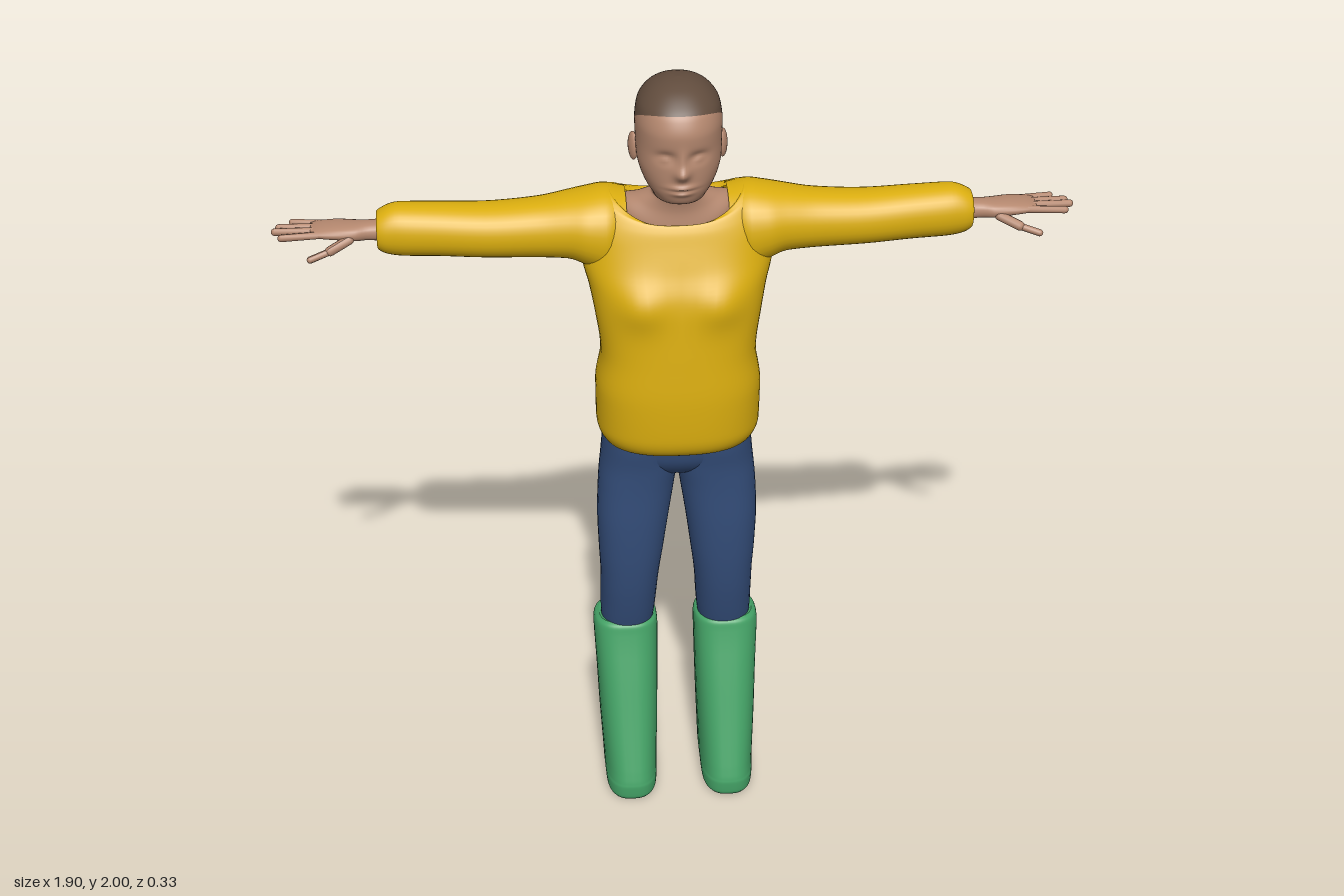
import * as THREE from 'three';

const mat = (name, color, side = THREE.FrontSide) => {
  const m = new THREE.MeshStandardMaterial({ color, side });
  m.name = name;
  return m;
};

// Smooth monotone interpolation of section rows at index position u
function sample(rows, u) {
  const last = rows.length - 1;
  const i = Math.min(Math.floor(u), last - 1), t = u - i;
  return rows[0].map((_, c) => {
    const d = (k) => rows[k + 1][c] - rows[k][c];
    const slope = (k) => {
      if (k === 0) return d(0);
      if (k === last) return d(last - 1);
      const a = d(k - 1), b = d(k);
      return a * b <= 0 ? 0 : (2 * a * b) / (a + b);
    };
    const a = rows[i][c], b = rows[i + 1][c], t2 = t * t, t3 = t2 * t;
    return a * (2 * t3 - 3 * t2 + 1) + slope(i) * (t3 - 2 * t2 + t)
      + b * (3 * t2 - 2 * t3) + slope(i + 1) * (t3 - t2);
  });
}

// Loft of rounded sections; row = [y, xMin, xMax, zBack, zFront, drop at front and back]
function loft(rows, { seg = 40, steps = 40, n = 2.3, from = () => 0, to = () => rows.length - 1, warp, caps = '' } = {}) {
  const pos = [], idx = [];
  const pw = (v) => Math.sign(v) * Math.abs(v) ** (2 / n);
  for (let i = 0; i <= steps; i++) {
    for (let j = 0; j < seg; j++) {
      const a = (j / seg) * Math.PI * 2, c = Math.cos(a), s = Math.sin(a);
      const u0 = from(s), u1 = to(s);
      const [y, x0, x1, z0, z1, drop] = sample(rows, u0 + (u1 - u0) * (i / steps));
      const p = new THREE.Vector3((x0 + x1) / 2 + (x1 - x0) / 2 * pw(c), y - drop * s * s, (z0 + z1) / 2 + (z1 - z0) / 2 * pw(s));
      if (warp) warp(p, s);
      pos.push(p.x, p.y, p.z);
      if (i < steps) {
        const k = (j + 1) % seg, q = i * seg;
        idx.push(q + j, q + seg + j, q + k, q + k, q + seg + j, q + seg + k);
      }
    }
  }
  // flat end caps with their own vertices
  const cap = (row, up) => {
    const base = pos.length / 3, o = row * seg * 3, mid = [0, 0, 0];
    for (let j = 0; j < seg; j++) for (let c = 0; c < 3; c++) {
      pos.push(pos[o + j * 3 + c]);
      mid[c] += pos[o + j * 3 + c] / seg;
    }
    pos.push(...mid);
    for (let j = 0; j < seg; j++) {
      const a = base + j, b = base + (j + 1) % seg;
      idx.push(base + seg, up ? b : a, up ? a : b);
    }
  };
  if (caps.includes('b')) cap(0, false);
  if (caps.includes('t')) cap(steps, true);
  const g = new THREE.BufferGeometry();
  g.setAttribute('position', new THREE.Float32BufferAttribute(pos, 3));
  g.setIndex(idx);
  g.computeVertexNormals();
  return g;
}

const sym = (rows) => rows.map(([y, w, zb, zf, drop = 0]) => [y, -w, w, zb, zf, drop]);
const full = (rows) => rows.map((r) => [...r, 0]);
// Sideways loft; row = [x, yLow, yHigh, zBack, zFront]
const sideLoft = (rows, opts) =>
  loft(rows.map(([x, lo, hi, zb, zf]) => [x, -hi, -lo, zb, zf, 0]), opts).rotateZ(-Math.PI / 2);

function mirrored(g) {
  const m = g.clone();
  m.scale(-1, 1, 1);
  const a = m.index.array;
  for (let i = 0; i < a.length; i += 3) [a[i], a[i + 1]] = [a[i + 1], a[i]];
  m.computeVertexNormals();
  return m;
}

function finger(a, b, r) {
  const p = new THREE.Vector3(...a), q = new THREE.Vector3(...b), d = q.clone().sub(p);
  const g = new THREE.CapsuleGeometry(r, d.length() - r, 4, 10);
  g.applyQuaternion(new THREE.Quaternion().setFromUnitVectors(new THREE.Vector3(0, 1, 0), d.clone().normalize()));
  return g.translate(...p.add(q).multiplyScalar(0.5).toArray());
}

export function createModel() {
  const root = new THREE.Group();
  root.name = 'figure';
  const skin = mat('skin', 0xb5886f);
  const hairMat = mat('hair', 0x614c3d);
  const yellow = mat('sweater yellow', 0xdbae0f, THREE.DoubleSide);
  const denim = mat('denim blue', 0x354f7c);
  const green = mat('boot green', 0x44a266);
  const add = (name, g, m) => {
    const mesh = new THREE.Mesh(g, m);
    mesh.name = name;
    root.add(mesh);
  };
  const pair = (name, g, m) => {
    add(name + 'Left', g, m);
    add(name + 'Right', mirrored(g), m);
  };

  // Head and neck share one surface, split along the hairline
  const headRows = sym([
    [1.60, 0.15, -0.135, 0.05, 0.04], [1.67, 0.135, -0.125, 0.05, 0.045], [1.688, 0.095, -0.085, 0.047, 0.025],
    [1.706, 0.062, -0.058, 0.058], [1.718, 0.06, -0.056, 0.105], [1.735, 0.065, -0.056, 0.134],
    [1.76, 0.079, -0.058, 0.143], [1.79, 0.091, -0.062, 0.146], [1.82, 0.098, -0.075, 0.147],
    [1.86, 0.1, -0.094, 0.149], [1.90, 0.101, -0.1, 0.152], [1.94, 0.096, -0.094, 0.14],
    [1.97, 0.077, -0.073, 0.11], [1.988, 0.052, -0.042, 0.078], [1.997, 0.026, -0.01, 0.047], [2.0, 0, 0.02, 0.02],
  ]);
  const bell = (a, b) => Math.exp(-a * a - b * b);
  const face = (p) => {
    if (p.z < 0.06) return;
    const { x, y } = p, ax = Math.abs(x);
    p.z += 0.02 * bell(x / 0.016, (y - 1.813) / 0.016) + 0.008 * bell(x / 0.012, (y - 1.842) / 0.025)
      + 0.009 * bell(x / 0.028, (y - 1.777) / 0.007) + 0.008 * bell(x / 0.024, (y - 1.762) / 0.007)
      - 0.004 * bell(x / 0.03, (y - 1.7695) / 0.0025)
      - 0.013 * bell((ax - 0.037) / 0.022, (y - 1.85) / 0.014) + 0.008 * bell((ax - 0.039) / 0.013, (y - 1.846) / 0.008);
  };
  const hairline = (s) => {
    const y = 1.908 + 0.068 * s - 0.026 * s * s;
    let lo = 3, hi = headRows.length - 1;
    for (let k = 0; k < 20; k++) {
      const mid = (lo + hi) / 2;
      if (sample(headRows, mid)[0] < y) lo = mid; else hi = mid;
    }
    return lo;
  };
  add('headAndNeck', loft(headRows, { seg: 96, steps: 90, n: 2.15, to: hairline, warp: face }), skin);
  add('hair', loft(headRows, { seg: 96, steps: 24, n: 2.15, from: hairline, warp: face }), hairMat);
  const ear = new THREE.SphereGeometry(1, 16, 12).scale(0.01, 0.034, 0.021);
  pair('ear', ear.rotateY(-0.35).rotateX(-0.15).translate(0.104, 1.828, 0.015), skin);

  // Sweater body with a scooped neckline
  const torsoRows = sym([
    [1.06, 0.14, -0.12, 0.08, 0.01], [1.045, 0.172, -0.145, 0.115], [1.062, 0.188, -0.16, 0.139], [1.1, 0.199, -0.166, 0.152],
    [1.2, 0.2, -0.143, 0.156], [1.3, 0.187, -0.117, 0.151], [1.4, 0.199, -0.122, 0.143],
    [1.47, 0.212, -0.145, 0.132], [1.54, 0.228, -0.162, 0.108, 0.005], [1.61, 0.228, -0.167, 0.087, 0.02],
    [1.66, 0.208, -0.16, 0.073, 0.035], [1.69, 0.18, -0.148, 0.062, 0.05], [1.695, 0.16, -0.138, 0.058, 0.06],
    [1.683, 0.15, -0.128, 0.05, 0.06],
  ]);
  add('sweaterBody', loft(torsoRows, {
    seg: 64, steps: 78, n: 2.5,
    warp: (p, s) => {
      if (s > 0) p.z += 0.02 * bell((Math.abs(p.x) - 0.095) / 0.06, (p.y - 1.46) / 0.055);
      else p.z += 0.014 * bell(p.x / 0.035, (p.y - 1.35) / 0.3);
    },
  }), yellow);

  // Sleeves
  pair('sleeve', sideLoft([
    [0.12, 1.53, 1.685, -0.13, 0.04], [0.17, 1.49, 1.696, -0.145, 0.066], [0.21, 1.508, 1.691, -0.138, 0.064],
    [0.26, 1.529, 1.682, -0.125, 0.052], [0.33, 1.533, 1.671, -0.112, 0.041], [0.45, 1.536, 1.664, -0.106, 0.034],
    [0.56, 1.542, 1.668, -0.103, 0.027], [0.65, 1.545, 1.671, -0.1, 0.021], [0.69, 1.554, 1.66, -0.092, 0.014],
    [0.705, 1.567, 1.648, -0.083, 0.005], [0.7, 1.58, 1.636, -0.072, -0.008],
  ], { seg: 36, steps: 50, n: 2.2 }), yellow);

  // Hands
  pair('hand', sideLoft([
    [0.66, 1.577, 1.632, -0.075, -0.012], [0.72, 1.584, 1.628, -0.071, -0.013], [0.76, 1.587, 1.627, -0.078, -0.003],
    [0.8, 1.592, 1.626, -0.086, -0.002], [0.84, 1.597, 1.622, -0.086, -0.007], [0.86, 1.603, 1.617, -0.08, -0.014],
  ], { seg: 24, steps: 24, n: 2.3, caps: 't' }), skin);
  [
    [[0.82, 1.61, -0.077], [0.908, 1.607, -0.093], 0.008],
    [[0.83, 1.611, -0.057], [0.939, 1.607, -0.067], 0.0088],
    [[0.83, 1.611, -0.036], [0.948, 1.608, -0.043], 0.009],
    [[0.83, 1.61, -0.016], [0.932, 1.604, -0.017], 0.0088],
    [[0.765, 1.6, -0.012], [0.82, 1.579, 0.015], 0.012],
    [[0.81, 1.582, 0.012], [0.865, 1.566, 0.027], 0.0085],
  ].forEach(([a, b, r], i) => pair(i < 4 ? 'finger' + (i + 1) : 'thumb' + (i - 3), finger(a, b, r), skin));

  // Jeans: hips and two legs
  add('hips', loft(sym([
    [0.925, 0.04, -0.06, 0.0], [0.95, 0.12, -0.115, 0.045], [1.0, 0.172, -0.145, 0.082], [1.08, 0.176, -0.15, 0.1],
  ]), { caps: 'bt' }), denim);
  pair('jeansLeg', loft(full([
    [0.42, 0.062, 0.19, -0.152, -0.015], [0.5, 0.053, 0.193, -0.152, 0.01], [0.6, 0.046, 0.193, -0.129, 0.035],
    [0.7, 0.034, 0.197, -0.116, 0.052], [0.8, 0.021, 0.2, -0.115, 0.063], [0.9, 0.006, 0.196, -0.128, 0.07],
    [0.97, -0.004, 0.189, -0.144, 0.078], [1.03, -0.004, 0.183, -0.155, 0.09], [1.07, 0.0, 0.178, -0.15, 0.095],
  ]), { caps: 'bt' }), denim);

  // Boots: sloping front, raised heel and flat sole
  pair('boot', loft(full([
    [0.0, 0.068, 0.184, -0.06, 0.128], [0.012, 0.061, 0.19, -0.072, 0.136], [0.04, 0.058, 0.193, -0.105, 0.138],
    [0.052, 0.057, 0.194, -0.145, 0.136], [0.075, 0.056, 0.195, -0.162, 0.129], [0.11, 0.055, 0.197, -0.165, 0.117],
    [0.2, 0.052, 0.202, -0.166, 0.086], [0.32, 0.049, 0.207, -0.166, 0.046], [0.43, 0.047, 0.212, -0.166, 0.009],
    [0.452, 0.05, 0.208, -0.164, 0.002], [0.46, 0.06, 0.198, -0.155, -0.008],
  ]), { steps: 50, n: 2.7, caps: 'bt', warp: (p) => { if (p.y > 0.4) p.y += (p.z + 0.08) * 1.6 * (p.y - 0.4); } }), green);

  return root;
}
